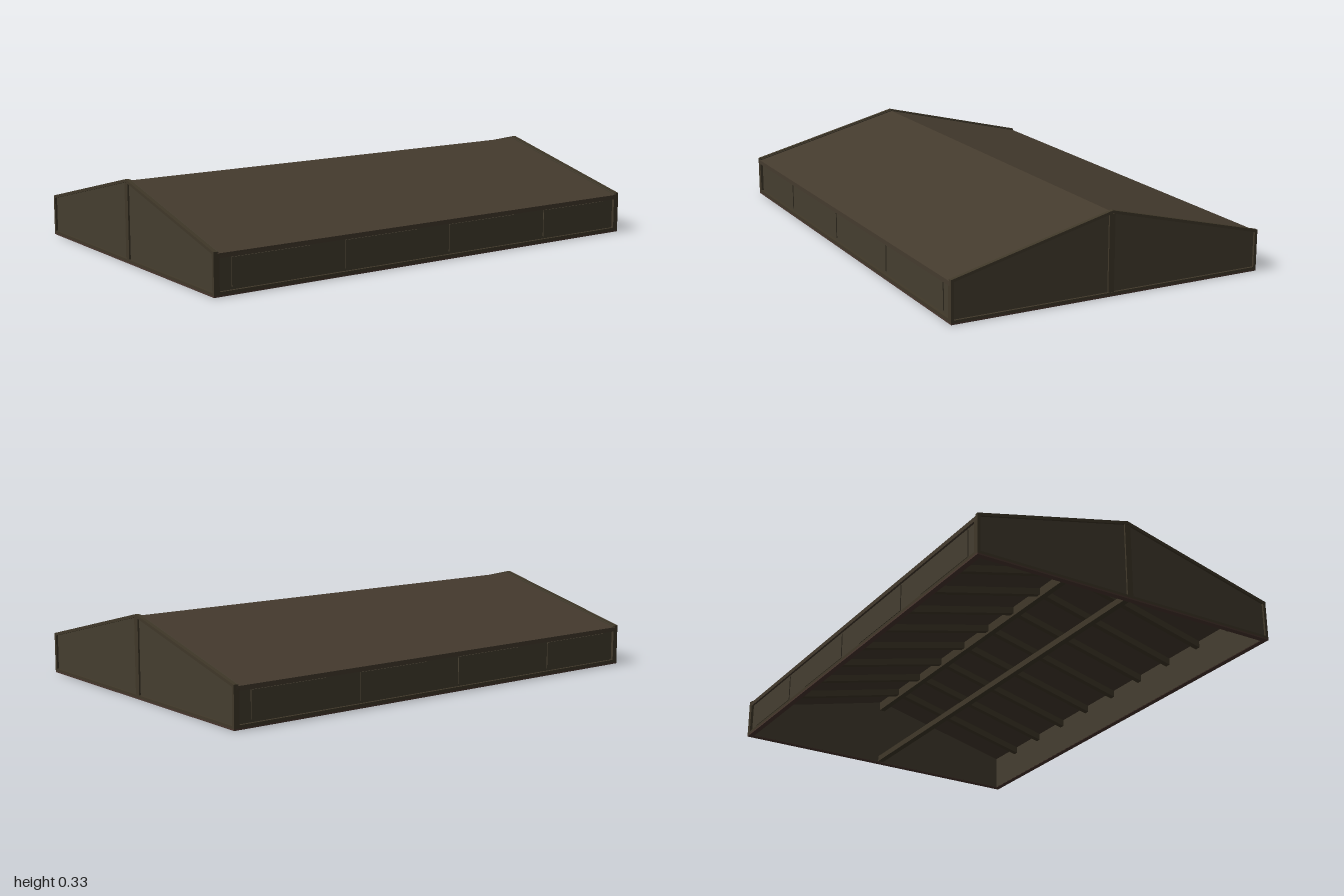
import * as THREE from 'three';

const W = 0.665, EAVE = 0.167, RIDGE = 0.333, SLOPE = (RIDGE - EAVE) / W;

export function createModel() {
  const model = new THREE.Group();
  const mat = (name, color) => {
    const m = new THREE.MeshStandardMaterial({ color });
    m.name = name;
    return m;
  };
  const wall = mat('olive wall', 0x453e30);
  const roofMat = mat('brown roof', 0x453b2e);
  const timber = mat('dark timber', 0x403829);
  const sill = mat('reddish sill', 0x4a372f);

  const add = (name, geometry, material, parent = model) => {
    const mesh = new THREE.Mesh(geometry, material);
    mesh.name = name;
    parent.add(mesh);
    return mesh;
  };
  const box = (name, size, pos, material, parent) => {
    const mesh = add(name, new THREE.BoxGeometry(...size), material, parent);
    mesh.position.set(...pos);
    return mesh;
  };
  // Flat outline in x and y, extruded along z and centred on z = 0
  const slab = (points, depth, hole) => {
    const shape = new THREE.Shape(points.map(p => new THREE.Vector2(...p)));
    if (hole) shape.holes.push(new THREE.Path(hole.map(p => new THREE.Vector2(...p))));
    return new THREE.ExtrudeGeometry(shape, { depth, bevelEnabled: false }).translate(0, 0, -depth / 2);
  };
  const gable = (inset, base) => {
    const w = W - inset;
    const eave = RIDGE - inset - SLOPE * w;
    return [[-w, base], [w, base], [w, eave], [0, RIDGE - inset], [-w, eave]];
  };

  // Roof: one thin folded sheet
  const drop = 0.007, thick = 0.018;
  add('roof', slab([
    [-W, EAVE - drop - thick], [0, RIDGE - drop - thick], [W, EAVE - drop - thick],
    [W, EAVE - drop], [0, RIDGE - drop], [-W, EAVE - drop],
  ], 1.98), roofMat);

  // Gable ends with raised edging and a centre post
  for (const s of [1, -1]) {
    const end = new THREE.Group();
    end.name = s > 0 ? 'frontGable' : 'backGable';
    model.add(end);
    add('gablePanel', slab(gable(0.003, 0.003), 0.014), wall, end).position.z = s * 0.984;
    add('gableTrim', slab(gable(0, 0.006), 0.016, gable(0.012, 0.016)), timber, end).position.z = s * 0.992;
    box('gablePost', [0.025, 0.305, 0.012], [0, 0.1665, s * 0.992], timber, end);
    box('gableSill', [2 * W, 0.006, 0.022], [0, 0.003, s * 0.989], sill, end);
  }

  // Long side walls with a frame and four shallow panels each
  for (const s of [1, -1]) {
    const side = new THREE.Group();
    side.name = s > 0 ? 'leftWall' : 'rightWall';
    model.add(side);
    box('wallPanel', [0.012, 0.148, 1.97], [s * 0.648, 0.076, 0], wall, side);
    box('topRail', [0.022, 0.012, 1.97], [s * 0.654, 0.152, 0], timber, side);
    box('bottomRail', [0.022, 0.012, 1.97], [s * 0.654, 0.012, 0], timber, side);
    box('wallSill', [0.022, 0.006, 1.97], [s * 0.654, 0.003, 0], sill, side);
    for (const z of [-1, 1])
      box('cornerPost', [0.022, 0.15, 0.014], [s * 0.654, 0.081, z * 0.983], timber, side);
    for (const z of [-0.75, -0.25, 0.25, 0.75])
      box('sidePanel', [0.004, 0.11, 0.34], [s * 0.656, 0.083, z], wall, side);
  }

  // Ridge beam and low tie beam running lengthwise
  box('ridgeBeam', [0.025, 0.04, 1.96], [0, 0.285, 0], timber);
  box('tieBeam', [0.025, 0.025, 1.96], [0, 0.018, 0], timber);

  // Nine pairs of rafters under the roof
  const rafter = slab([
    [0.005, 0.31], [0.005, 0.278],
    [0.645, 0.278 - SLOPE * 0.64], [0.645, 0.31 - SLOPE * 0.64],
  ], 0.024);
  for (let i = -4; i <= 4; i++) {
    add('leftRafter', rafter, timber).position.z = i * 0.2;
    const mirrored = add('rightRafter', rafter, timber);
    mirrored.position.z = i * 0.2;
    mirrored.rotation.y = Math.PI;
  }
  return model;
}
